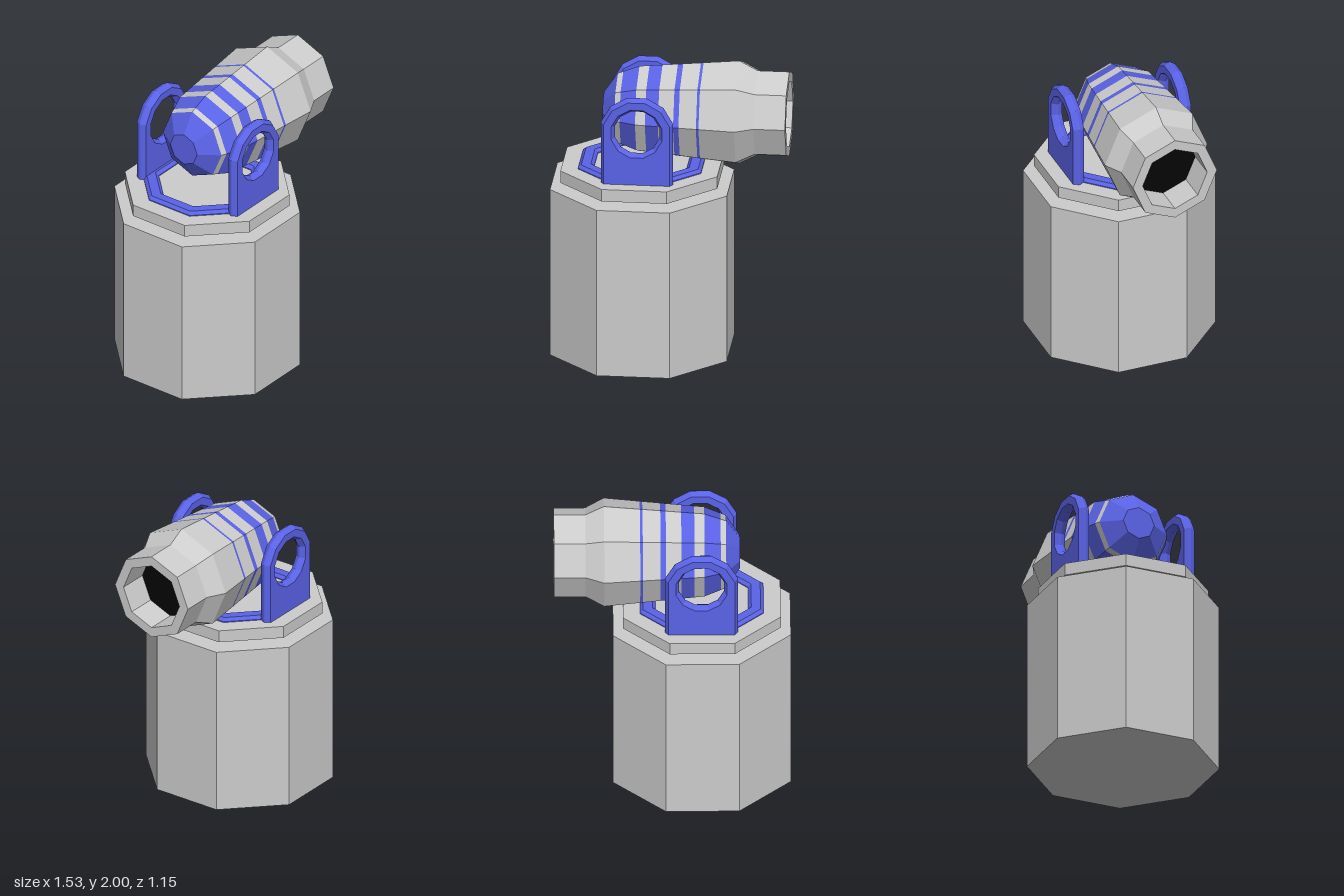
import * as THREE from 'three';

const CX = -0.193;    // centre of base and mount
const AXIS_Y = 1.643; // height of barrel axis

const mat = (color) => new THREE.MeshStandardMaterial({ color, flatShading: true });
const grey = mat(0xcccccc), blue = mat(0x5a62e6), black = mat(0x050505);

function add(parent, name, geometry, material, x = 0, y = 0, z = 0) {
  const mesh = new THREE.Mesh(geometry, material);
  mesh.name = name;
  mesh.position.set(x, y, z);
  parent.add(mesh);
  return mesh;
}

// Octagonal prism given by the distance from centre to its flats
function octagon(apothem, height) {
  const r = apothem / Math.cos(Math.PI / 8);
  return new THREE.CylinderGeometry(r, r, height, 8).rotateY(Math.PI / 8);
}

// Eight-sided revolve; points are [radius, height]
const revolve = (points) =>
  new THREE.LatheGeometry(points.map(([r, h]) => new THREE.Vector2(r, h)), 8);

// Twelve-sided arc points with a flat on top
function polygonPoints(apothem, cy, count) {
  const r = apothem / Math.cos(Math.PI / 12);
  return Array.from({ length: count }, (_, i) => {
    const a = Math.PI / 12 + (i * Math.PI) / 6;
    return new THREE.Vector2(r * Math.cos(a), cy + r * Math.sin(a));
  });
}

// Arched upright with a round eye and chamfered edges
function bracketGeometry() {
  const bevel = 0.02, eyeY = 1.625, w = 0.235 - bevel;
  const shape = new THREE.Shape([
    new THREE.Vector2(-w, 1.26), new THREE.Vector2(w, 1.26),
    ...polygonPoints(w, eyeY, 6),
  ]);
  shape.holes.push(new THREE.Path(polygonPoints(0.145 + bevel, eyeY, 12).reverse()));
  return new THREE.ExtrudeGeometry(shape, {
    depth: 0.01, bevelEnabled: true, bevelSegments: 1, bevelSize: bevel, bevelThickness: 0.033,
  }).translate(0, 0, -0.005);
}

export function createModel() {
  const model = new THREE.Group();
  model.name = 'cannonTurret';

  // Pedestal and the turntable floating just above it
  add(model, 'pedestal', octagon(0.575, 1.15), grey, CX, 0.575);
  add(model, 'turntable', octagon(0.51, 0.083), grey, CX, 1.2295);

  // Chamfered octagonal rail on the turntable
  const k = 1 / Math.cos(Math.PI / 8);
  const rail = revolve([[0.4 * k, 1.27], [0.4 * k, 1.277], [0.38 * k, 1.297],
    [0.32 * k, 1.297], [0.3 * k, 1.277], [0.3 * k, 1.27]]).rotateY(Math.PI / 8);
  add(model, 'rail', rail, blue, CX);

  // Pair of uprights
  for (const side of [-1, 1]) {
    add(model, side > 0 ? 'frontBracket' : 'backBracket', bracketGeometry(), blue, CX + 0.005, 0, side * 0.374);
  }

  // Barrel, built along y and laid down along x
  const barrel = new THREE.Group();
  barrel.name = 'barrel';
  barrel.position.y = AXIS_Y;
  barrel.rotation.z = -Math.PI / 2;
  model.add(barrel);

  add(barrel, 'breechCap', revolve([[0, -0.44], [0.11, -0.44], [0.24, -0.35]]), blue);

  // Alternating grey and blue bands
  const knots = [[0.24, -0.35], [0.295, -0.21], [0.357, 0.44]];
  const radiusAt = (x) => {
    const [a, b] = x < -0.21 ? [knots[0], knots[1]] : [knots[1], knots[2]];
    return THREE.MathUtils.mapLinear(x, a[1], b[1], a[0], b[0]);
  };
  const stops = [-0.35, -0.315, -0.21, -0.145, -0.06, 0.04, 0.075, 0.19, 0.207, 0.44];
  for (let i = 0; i < stops.length - 1; i++) {
    const ends = [stops[i], stops[i + 1]].map((x) => [radiusAt(x), x]);
    add(barrel, i % 2 ? 'stripe' : 'barrelBand', revolve(ends), i % 2 ? blue : grey);
  }

  // Muzzle with a hollow bore closed by a dark disc
  add(barrel, 'muzzle', revolve([[0.357, 0.44], [0.293, 0.56], [0.293, 0.765],
    [0.225, 0.765], [0.225, 0.56]]), grey);
  add(barrel, 'boreEnd', revolve([[0.225, 0.56], [0, 0.56]]), black);

  return model;
}
